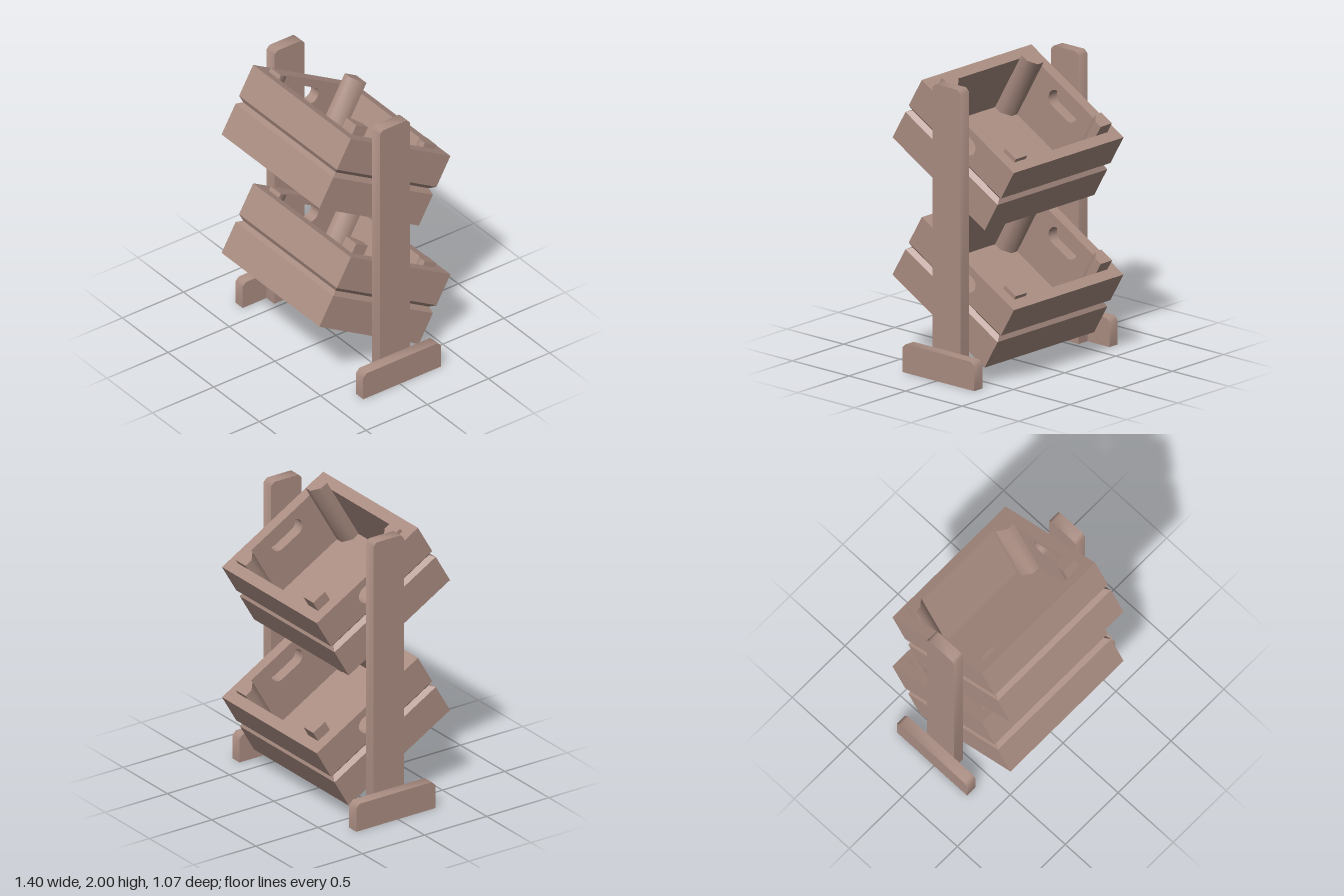
import * as THREE from 'three';
import { toCreasedNormals } from 'three/addons/utils/BufferGeometryUtils.js';

const wood = new THREE.MeshStandardMaterial({ color: 0xab8e83 });
wood.name = 'wood';

// Crate half sizes, wall thickness and groove depth
const W = 0.535, H = 0.258, L = 0.47, T = 0.08, G = 0.029;

function add(parent, name, geometry, x = 0, y = 0, z = 0) {
  const mesh = new THREE.Mesh(geometry, wood);
  mesh.name = name;
  mesh.position.set(x, y, z);
  parent.add(mesh);
  return mesh;
}

const polygon = (points) => new THREE.Shape(points.map(([x, y]) => new THREE.Vector2(x, y)));

// Extrude with chamfers shaded softly and square edges kept sharp
function extrude(shape, depth) {
  const g = new THREE.ExtrudeGeometry(shape, { depth, bevelEnabled: false, curveSegments: 16 });
  return toCreasedNormals(g, 0.9);
}

// Extrude a (z, y) shape sideways, centred on x = 0
function sidePlate(shape, thickness) {
  return extrude(shape, thickness).translate(0, 0, -thickness / 2).rotateY(-Math.PI / 2);
}

// Rectangular ring swept from a closed profile of [inset, y] points
function ringGeometry(profile) {
  const corners = [[1, 1], [1, -1], [-1, -1], [-1, 1]];
  const point = (k, i) => {
    const [inset, y] = profile[k % profile.length];
    const [sx, sz] = corners[i % 4];
    return [sx * (W - inset), y, sz * (L - inset)];
  };
  const positions = [];
  for (let k = 0; k < profile.length; k++) {
    for (let i = 0; i < 4; i++) {
      const a = point(k, i), b = point(k, i + 1), c = point(k + 1, i + 1), d = point(k + 1, i);
      positions.push(...a, ...b, ...c, ...a, ...c, ...d);
    }
  }
  const g = new THREE.BufferGeometry();
  g.setAttribute('position', new THREE.Float32BufferAttribute(positions, 3));
  g.computeVertexNormals();
  return g;
}

// Upper side board with a rounded hand hole
function handleBoard() {
  const e = L - T;
  const shape = polygon([[-e, G], [e, G], [e, H], [-e, H]]);
  const hole = new THREE.Path();
  const r = 0.06, half = 0.075, y = (G + H) / 2;
  hole.absarc(half, y, r, -Math.PI / 2, Math.PI / 2, false);
  hole.absarc(-half, y, r, Math.PI / 2, Math.PI * 1.5, false);
  hole.closePath();
  shape.holes.push(hole);
  return sidePlate(shape, T);
}

// Square corner post with its inner corner cut off
function cornerPost(sx, sz, height) {
  const x = W - T, z = L - T, s = 0.11, c = 0.055;
  const outline = [[x, z], [x, z - s], [x - c, z - s], [x - s, z - s + c], [x - s, z]];
  const shape = polygon(outline.map(([px, pz]) => [sx * px, -sz * pz]));
  return extrude(shape, height).rotateX(-Math.PI / 2);
}

function createCrate() {
  const crate = new THREE.Group();
  crate.name = 'crate';
  // Lower boards with the V groove above them
  add(crate, 'lowerBoards', ringGeometry([[0, -H], [0, -G], [G, 0], [0, G], [T, G], [T, -H]]));
  add(crate, 'floor', new THREE.BoxGeometry(2 * (W - T), T, 2 * (L - T)), 0, -H + T / 2, 0);
  // Upper boards
  for (const s of [1, -1]) {
    add(crate, s > 0 ? 'upperFrontBoard' : 'upperBackBoard',
      new THREE.BoxGeometry(2 * W, H - G, T), 0, (H + G) / 2, s * (L - T / 2));
    add(crate, s > 0 ? 'leftHandleBoard' : 'rightHandleBoard', handleBoard(), s * (W - T / 2));
  }
  // Corner posts, each rising a little differently above the rim
  const posts = [[1, 1, 0.07], [-1, 1, 0.03], [1, -1, 0.03], [-1, -1, 0.08]];
  for (const [sx, sz, rise] of posts) {
    add(crate, 'cornerPost', cornerPost(sx, sz, 2 * H - T + rise), 0, -H + T, 0);
  }
  return crate;
}

// Upright plank outline with chamfered top corners
function plank(z0, z1, height, c) {
  return polygon([[z0, 0], [z1, 0], [z1, height - c], [z1 - c, height], [z0 + c, height], [z0, height - c]]);
}

export function createModel() {
  const model = new THREE.Group();
  model.name = 'crateStand';

  // Two crates tilted towards the back
  for (const [name, y] of [['lowerCrate', 0.57], ['upperCrate', 1.51]]) {
    const crate = createCrate();
    crate.name = name;
    crate.position.y = y;
    crate.rotation.x = -Math.PI / 6;
    model.add(crate);
  }

  // Uprights and feet on both sides
  for (const s of [1, -1]) {
    const side = s > 0 ? 'left' : 'right';
    add(model, side + 'Upright', sidePlate(plank(-0.14, 0.105, 2, 0.025), 0.085), s * 0.5775);
    add(model, side + 'Foot', sidePlate(plank(-0.335, 0.3, 0.195, 0.028), 0.08), s * 0.66);
  }
  return model;
}
